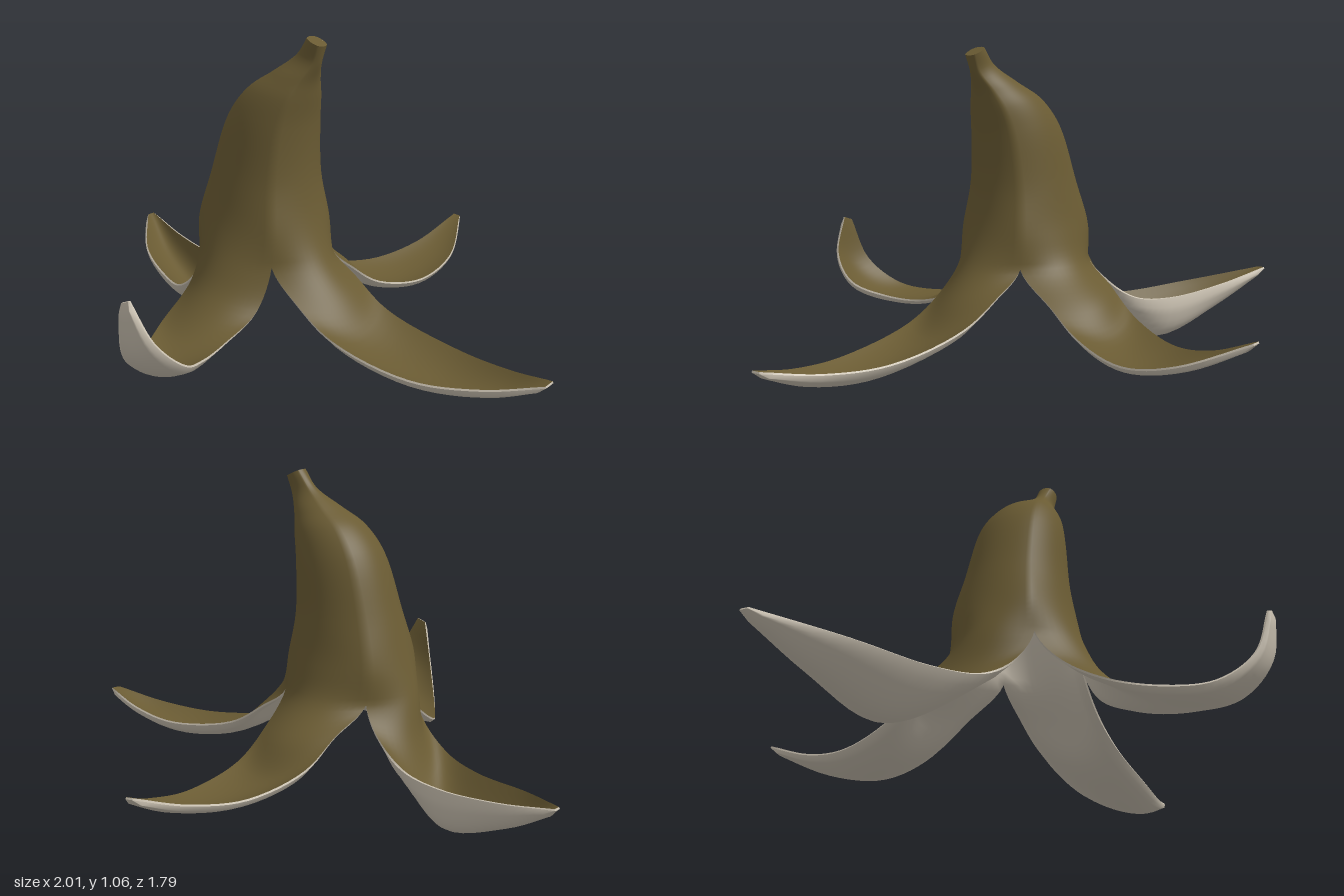
import * as THREE from 'three';
import { mergeVertices } from 'three/addons/utils/BufferGeometryUtils.js';

const THICK = 0.017, EDGE_THICK = 0.006, STEPS = 6, ACROSS = 16, BODY_Z = 0.117;

// Closed upper body, stem to split: xMin, xMax, height, half depth
const rings = [
  [0.11, 0.168, 1.047, 0.029],
  [0.065, 0.15, 0.99, 0.03],
  [-0.02, 0.127, 0.932, 0.068],
  [-0.11, 0.115, 0.875, 0.104],
  [-0.18, 0.1, 0.785, 0.131],
  [-0.25, 0.095, 0.6, 0.156],
  [-0.295, 0.12, 0.45, 0.184],
  [-0.33, 0.165, 0.34, 0.225],
];

// Point of a ring in direction sx, sz (-1 to 1); corners are drawn in, the stem end leans
function ringPoint([x0, x1, y, depth], sx, sz) {
  const inset = sx && sz ? (y > 0.4 ? 0.77 : 0.65) : 1;
  const lean = y > 0.7 ? 0.013 : 0;
  return new THREE.Vector3(
    (x0 + x1) / 2 + (x1 - x0) / 2 * inset * sx, y - lean * inset * sx, BODY_Z + depth * inset * sz);
}

// Loose flap rows: distance out, sideways shift, edge height, half width, dip of the middle
const frontRows = [
  [0.33, -0.073, 0.23, 0.148, -0.012], [0.475, -0.06, 0.157, 0.14, 0.008],
  [0.625, 0.005, 0.145, 0.125, 0.021], [0.75, 0.072, 0.175, 0.112, 0.03],
  [0.845, 0.102, 0.265, 0.068, 0.03], [0.88, 0.097, 0.4, 0.016, 0]];
const leftRows = [
  [0.18, -0.112, 0.25, 0.143, 0.015], [0.32, -0.115, 0.167, 0.138, 0.037],
  [0.6, -0.113, 0.111, 0.123, 0.043], [0.82, -0.11, 0.121, 0.075, 0.031],
  [1, -0.11, 0.158, 0.02, 0]];
const backRows = [
  [0.16, 0.072, 0.25, 0.143, 0.012], [0.29, 0.055, 0.17, 0.135, 0.035],
  [0.5, 0.012, 0.13, 0.118, 0.027], [0.7, -0.01, 0.165, 0.08, 0.017],
  [0.9, 0.023, 0.246, 0.013, 0]];
const rightRows = [
  [0.3, 0.088, 0.25, 0.146, 0.04], [0.42, 0.05, 0.167, 0.14, 0.09],
  [0.57, -0.003, 0.147, 0.121, 0.127], [0.8, -0.088, 0.17, 0.083, 0.073],
  [1, -0.205, 0.217, 0.014, 0]];

// Grid of one peel strip from stem to flap tip, facing a quarter turn.
// Tilt raises one edge, twist adds to it row by row, skew moves the dip sideways.
function addStrip(quarter, { tilt, twist, skew }, rows, pos, idx) {
  const ox = [0, 1, 0, -1][quarter], oz = [1, 0, -1, 0][quarter];
  const split = rings.length - 1, last = split + rows.length;
  const curves = [-1, 0, 1].map(side => {
    const body = rings.map(r => ringPoint(r, ox + side * oz, oz - side * ox));
    const flap = rows.map(([out, shift, h, w, dip], i) => {
      // The middle of the first rows still bulges outward from the body
      const r = out + (side ? 0 : Math.max(0, 0.07 - 0.035 * i));
      const s = shift + side * w + (side ? 0 : skew * dip);
      const y = h + side * (tilt + twist * i) * w - (side ? 0 : dip);
      return new THREE.Vector3(ox * r + oz * s, y, oz * r - ox * s);
    });
    const full = new THREE.CatmullRomCurve3([...body, ...flap]);
    const shared = new THREE.CatmullRomCurve3(body);
    // Edges follow a shared curve above the split so neighbours meet
    return t => (side && t <= split) ? shared.getPoint(t / split) : full.getPoint(t / last);
  });
  const base = pos.length / 3, n = last * STEPS;
  for (let i = 0; i <= n; i++) {
    const [a, c, b] = curves.map(f => f(i / STEPS));
    for (let j = 0; j <= ACROSS; j++) {
      const u = j / ACROSS;
      const p = new THREE.Vector3().addScaledVector(a, (1 - u) * (1 - 2 * u))
        .addScaledVector(c, 4 * u * (1 - u)).addScaledVector(b, u * (2 * u - 1));
      pos.push(p.x, p.y, p.z);
      if (i < n && j < ACROSS) {
        const q = base + i * (ACROSS + 1) + j, d = q + ACROSS + 1;
        idx.push(q, d, q + 1, q + 1, d, d + 1);
      }
    }
  }
}

// Edges that belong to one triangle only
function openEdges(index) {
  const edges = new Map();
  for (let i = 0; i < index.length; i += 3) {
    for (let k = 0; k < 3; k++) {
      const p = index[i + k], q = index[i + (k + 1) % 3];
      edges.set(p + '_' + q, [p, q]);
    }
  }
  return [...edges.values()].filter(([p, q]) => !edges.has(q + '_' + p));
}

function geometry(pos, idx) {
  const g = new THREE.BufferGeometry();
  g.setAttribute('position', new THREE.Float32BufferAttribute(pos, 3));
  g.setIndex(idx);
  return g;
}

export function createModel() {
  const group = new THREE.Group();
  group.name = 'fruitPeel';
  const skin = new THREE.MeshStandardMaterial({ color: 0x6a5b33 });
  const pith = new THREE.MeshStandardMaterial({ color: 0xc9c0b0 });
  const add = (name, g, m) => {
    g.computeVertexNormals();
    const mesh = new THREE.Mesh(g, m);
    mesh.name = name;
    group.add(mesh);
  };

  // Outer skin, welded along the closed seams
  const pos = [], idx = [];
  addStrip(0, { tilt: -0.12, twist: 0.1, skew: 0 }, frontRows, pos, idx);
  addStrip(1, { tilt: 0.1, twist: 0, skew: 0 }, leftRows, pos, idx);
  addStrip(2, { tilt: 0.1, twist: 0, skew: 0 }, backRows, pos, idx);
  addStrip(3, { tilt: -0.08, twist: 0, skew: -0.4 }, rightRows, pos, idx);
  const outer = mergeVertices(geometry(pos, idx), 1e-4);
  add('outerSkin', outer, skin);

  // Inner lining, offset inward and thinner along the borders
  const P = Array.from(outer.attributes.position.array), N = outer.attributes.normal.array;
  const I = Array.from(outer.index.array), count = P.length / 3;
  const border = openEdges(I), borderPoints = new Set(border.flat());
  const Q = P.map((v, i) => v - N[i] * (borderPoints.has(Math.floor(i / 3)) ? EDGE_THICK : THICK));
  const flipped = [];
  for (let i = 0; i < I.length; i += 3) flipped.push(I[i], I[i + 2], I[i + 1]);
  add('innerLining', geometry(Q, flipped), pith);

  // The stem end gets a cap, the flap edges get a rim
  const rim = [], cap = [], at = v => P.slice(3 * v, 3 * v + 3);
  const top = ringPoint(rings[0], 0, 0).toArray();
  for (const [p, q] of border) {
    if (P[3 * p + 1] > 1) cap.push(...at(q), ...at(p), ...top);
    else rim.push(q, p, p + count, q, p + count, q + count);
  }
  add('flapRim', geometry([...P, ...Q], rim), pith);
  add('stemEnd', geometry(cap, [...Array(cap.length / 3).keys()]), skin);
  return group;
}
